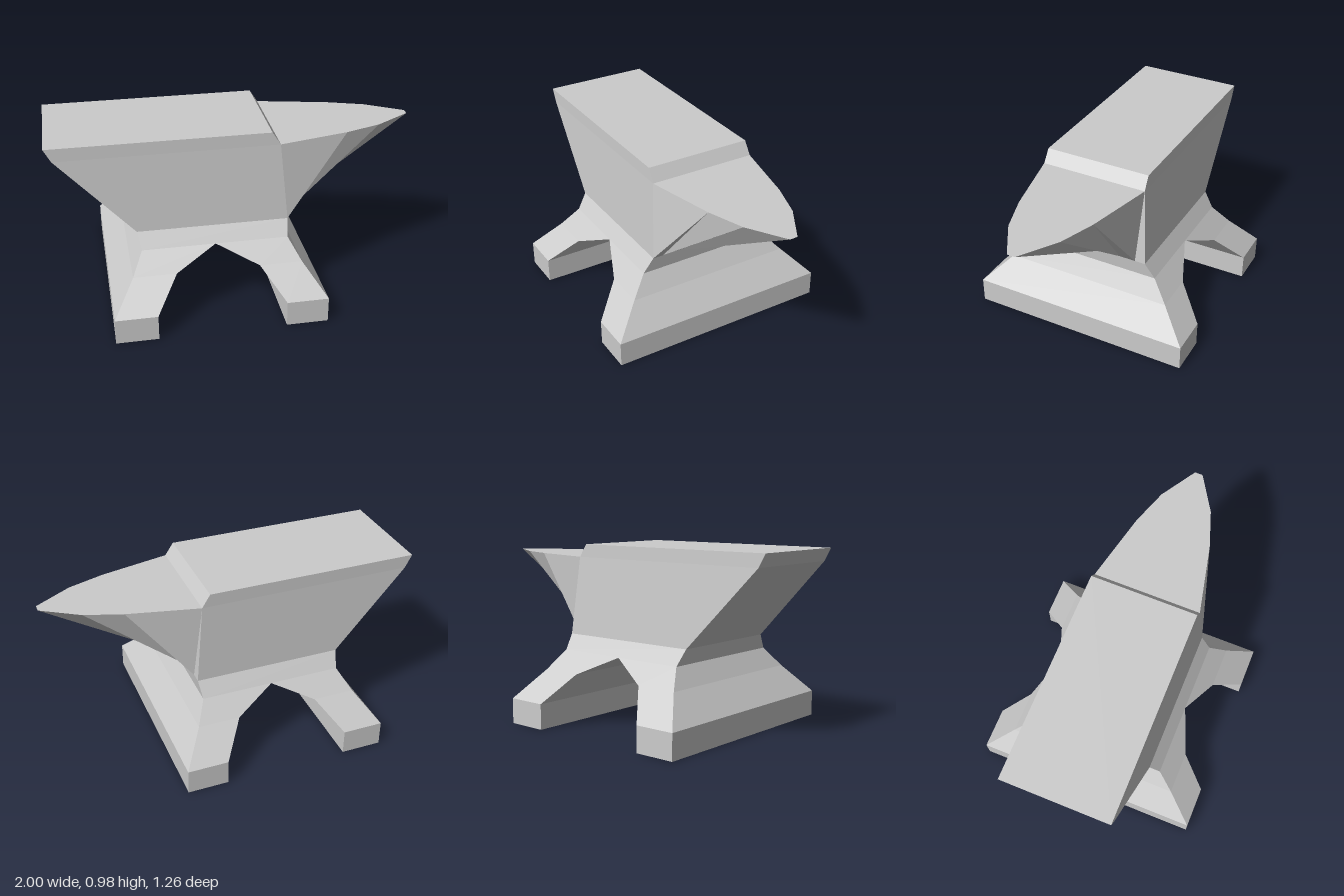
import * as THREE from 'three';

const material = new THREE.MeshStandardMaterial({
  color: 0xcccccc, flatShading: true, side: THREE.DoubleSide,
});

// Mesh from quads whose corners run counter-clockwise seen from outside
function quadMesh(name, quads) {
  const positions = quads.flatMap(([a, b, c, d]) => [a, b, c, a, c, d].flat());
  const geometry = new THREE.BufferGeometry();
  geometry.setAttribute('position', new THREE.Float32BufferAttribute(positions, 3));
  geometry.computeVertexNormals();
  const mesh = new THREE.Mesh(geometry, material);
  mesh.name = name;
  return mesh;
}

// Stacks rectangular sections given as [y, half depth, left x, right x]
function loftQuads(sections) {
  const rings = sections.map(([y, d, x0, x1]) =>
    [[x0, y, d], [x1, y, d], [x1, y, -d], [x0, y, -d]]);
  const quads = [];
  for (let i = 0; i < rings.length - 1; i++) {
    for (let k = 0; k < 4; k++) {
      const n = (k + 1) % 4;
      quads.push([rings[i][k], rings[i][n], rings[i + 1][n], rings[i + 1][k]]);
    }
  }
  return { quads, top: rings[rings.length - 1] };
}

export function createModel() {
  const group = new THREE.Group();

  // Waist, flared body and flat working face
  const body = loftQuads([
    [0.40, 0.385, -0.54, 0.245],
    [0.483, 0.33, -0.557, 0.255],
    [0.91, 0.30, -0.962, 0.215],
    [0.98, 0.298, -1.0, 0.17],
  ]);
  group.add(quadMesh('body', [...body.quads, body.top]));

  // Splayed legs, hollow underneath, meeting at the crown of the arch
  const legSections = [
    [0, 0.628, -0.715, -0.49],
    [0.14, 0.628, -0.715, -0.49],
    [0.295, 0.478, -0.60, -0.37],
    [0.40, 0.385, -0.54, -0.147],
  ];
  const mirrored = legSections.map(([y, d, x0, x1]) => [y, d, -0.295 - x1, -0.295 - x0]);
  group.add(quadMesh('rightLeg', loftQuads(legSections).quads));
  group.add(quadMesh('leftLeg', loftQuads(mirrored).quads));

  // Horn: a flat top whose rim narrows down to the body's lower edge
  const rim = [[0.215, 0.30], [0.60, 0.213], [0.80, 0.145], [1.0, 0.022]];
  const rootDepths = [0.33, 0.27, 0.18, 0.07];
  const top = (i, s) => [rim[i][0], 0.91, s * rim[i][1]];
  const root = (i, s) => [0.255, 0.483, s * rootDepths[i]];
  const horn = [[root(3, 1), root(3, -1), top(3, -1), top(3, 1)]];
  for (let i = 0; i < 3; i++) {
    horn.push(
      [root(i, 1), root(i + 1, 1), top(i + 1, 1), top(i, 1)],
      [root(i + 1, -1), root(i, -1), top(i, -1), top(i + 1, -1)],
      [top(i, 1), top(i + 1, 1), top(i + 1, -1), top(i, -1)],
    );
  }
  group.add(quadMesh('horn', horn));

  return group;
}
